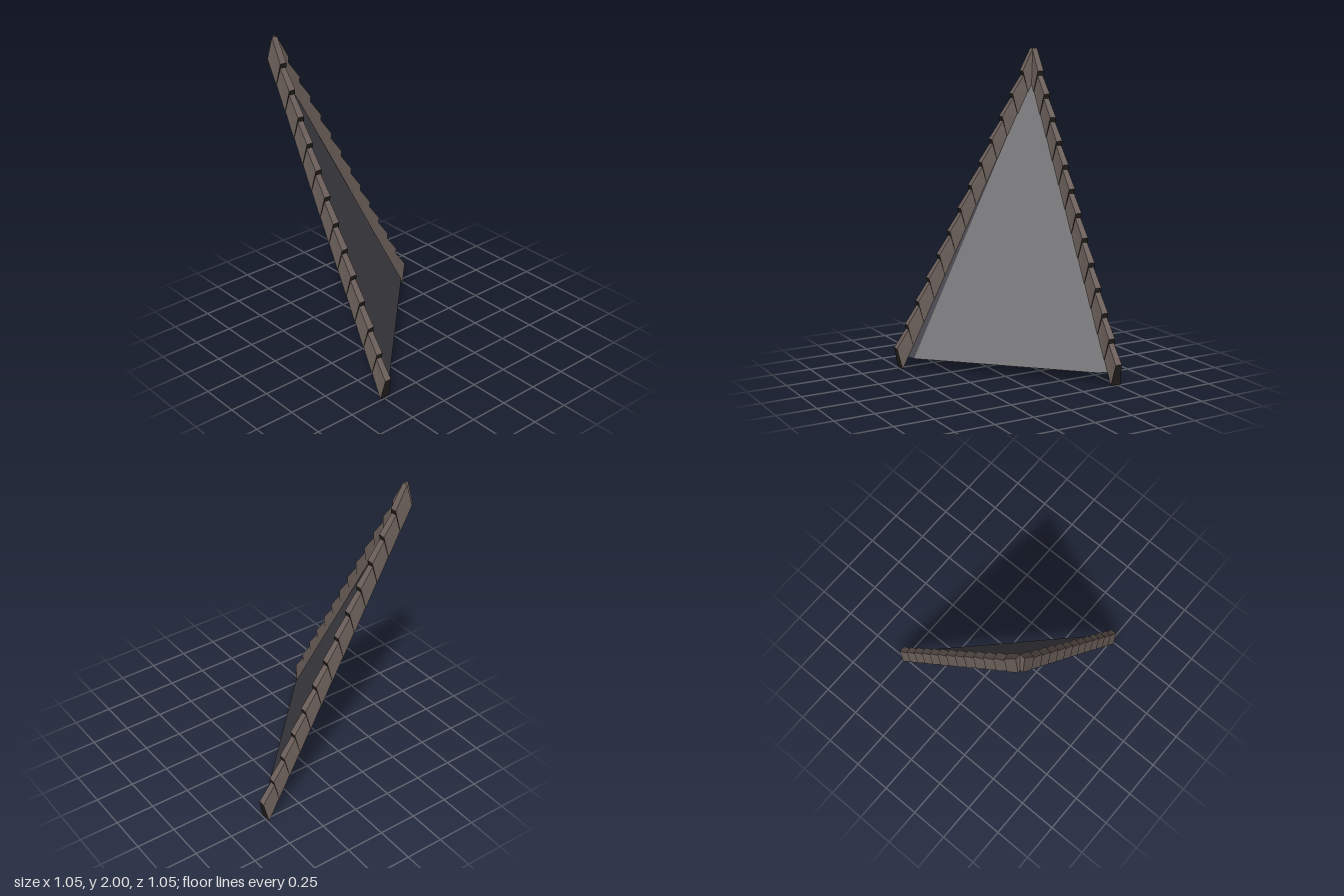
import * as THREE from 'three';

const tileBrown = new THREE.MeshStandardMaterial({ color: 0x6c605b });
const tileEndDark = new THREE.MeshStandardMaterial({ color: 0x24221f });
const panelSlate = new THREE.MeshStandardMaterial({ color: 0x47464c, side: THREE.DoubleSide });

const TILES = 13, STEP = [-0.0767, 0.1435]; // spacing along the sloping edge
const CENTRE = -0.49;                       // line on which each ridge stands

// Flat-shaded geometry from quads or triangles; swapped exchanges x and z.
function facets(faces, swapped) {
  const pos = [];
  const put = ([x, y, z]) => (swapped ? pos.push(z, y, x) : pos.push(x, y, z));
  for (const face of faces) {
    const f = swapped ? [...face].reverse() : face;
    for (let i = 1; i < f.length - 1; i++) [f[0], f[i], f[i + 1]].forEach(put);
  }
  const g = new THREE.BufferGeometry();
  g.setAttribute('position', new THREE.Float32BufferAttribute(pos, 3));
  g.computeVertexNormals();
  return g;
}

// Trapezoid end of a tile: wide at its base, narrow along its crest.
function section(n, drop, baseHalf, crestHalf) {
  const bx = 0.491 + n * STEP[0], by = n * STEP[1];
  const ox = bx + 0.031 - drop * 0.88, oy = by + 0.135 - drop * 0.47;
  return [
    [bx, by, CENTRE + baseHalf], [ox, oy, CENTRE + crestHalf],
    [ox, oy, CENTRE - crestHalf], [bx, by, CENTRE - baseHalf],
  ];
}

// One row of overlapping ridge tiles
function ridge(name, swapped) {
  const row = new THREE.Group();
  row.name = name;
  for (let n = 0; n < TILES; n++) {
    const last = n === TILES - 1;
    const low = section(n, 0, 0.035, 0.022);
    const high = section(n + 1, last ? 0 : 0.022, last ? 0.035 : 0.032, 0.018);
    const sides = low.map((p, i) => {
      const j = (i + 1) % 4;
      return [p, low[j], high[j], high[i]];
    });
    const body = new THREE.Mesh(facets([...sides, high], swapped), tileBrown);
    body.name = 'ridgeTile';
    const end = new THREE.Mesh(facets([[...low].reverse()], swapped), tileEndDark);
    end.name = 'ridgeTileEnd';
    row.add(body, end);
  }
  return row;
}

export function createModel() {
  const model = new THREE.Group();
  model.name = 'cornerRoof';
  model.add(ridge('backRidge', false), ridge('rightRidge', true));

  // Sloping triangular panel with a narrow fold beneath each ridge
  const apex = [-0.47, 1.82, -0.47];
  const a = [0.43, 0.075, -0.4], b = [-0.405, 0.075, 0.435];
  const main = new THREE.Mesh(facets([[apex, b, a]]), panelSlate);
  main.name = 'roofPanel';
  model.add(main);
  for (const swapped of [false, true]) {
    const fold = new THREE.Mesh(
      facets([[apex, [0.43, 0.075, -0.4], [0.455, 0.075, -0.47]]], swapped), panelSlate);
    fold.name = 'panelFold';
    model.add(fold);
  }
  return model;
}
